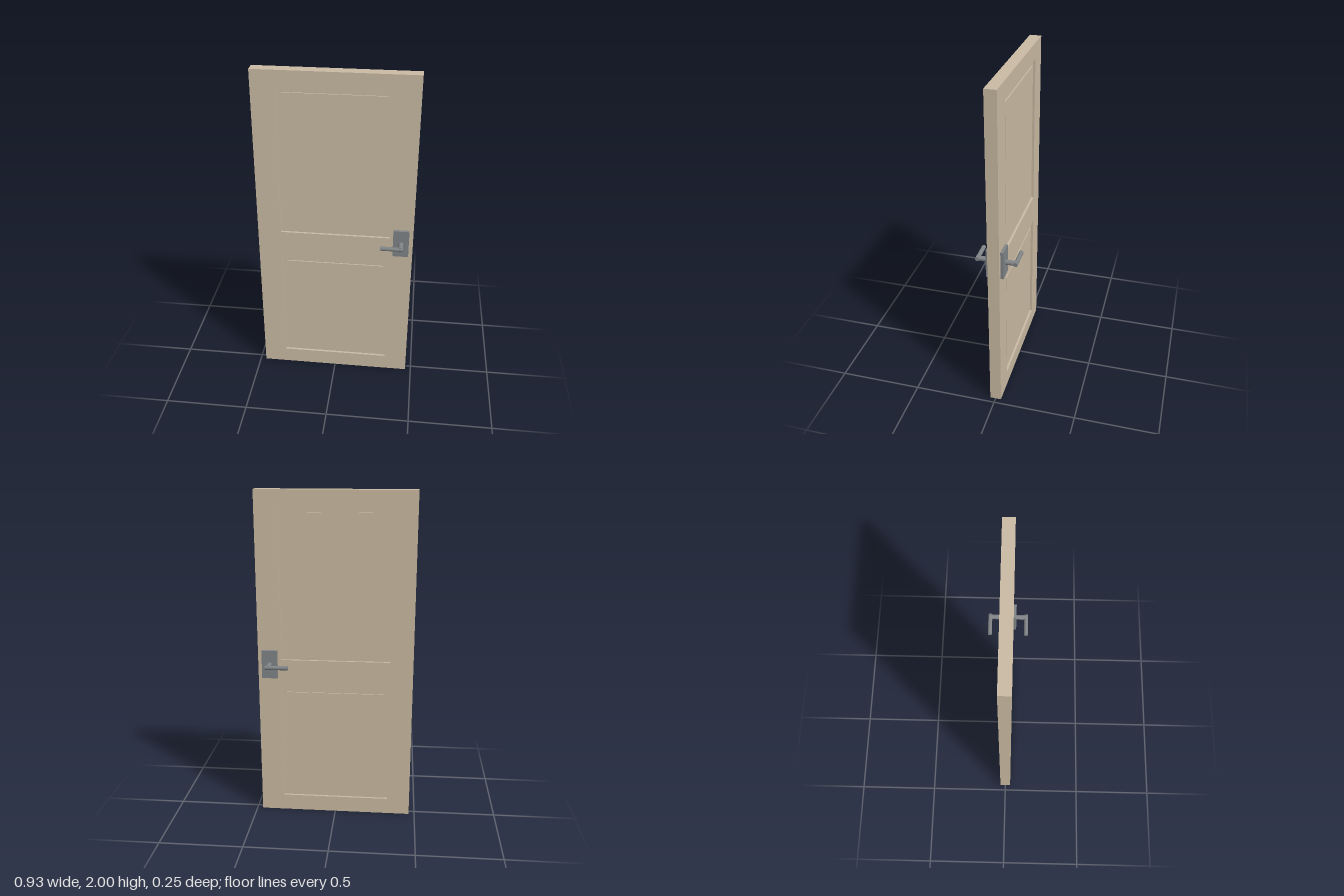
import * as THREE from 'three';

const W = 0.93, H = 2, T = 0.068;      // door slab
const SINK = 0.014, FIELD_DROP = 0.007; // groove depth, raised field depth below the face
const GROOVE = 0.031;                   // groove width
const PANELS = [
  { name: 'upperPanel', y0: 1.0, y1: 1.905 },
  { name: 'lowerPanel', y0: 0.1, y1: 0.825 },
];
const PX = 0.326; // panel half width

function rect(Type, x0, y0, x1, y1) {
  const p = new Type();
  p.moveTo(x0, y0);
  p.lineTo(x1, y0);
  p.lineTo(x1, y1);
  p.lineTo(x0, y1);
  p.closePath();
  return p;
}

export function createModel() {
  const wood = new THREE.MeshStandardMaterial({ color: 0xc9baa2 });
  wood.name = 'beigePaint';
  const metal = new THREE.MeshStandardMaterial({ color: 0x808486 });
  metal.name = 'greyMetal';

  const door = new THREE.Group();
  door.name = 'door';
  const add = (parent, name, geo, mat, x, y, z) => {
    const m = new THREE.Mesh(geo, mat);
    m.name = name;
    m.position.set(x, y, z);
    parent.add(m);
    return m;
  };

  // Frame of stiles and rails with two openings
  const outline = rect(THREE.Shape, -W / 2, 0, W / 2, H);
  outline.holes = PANELS.map((p) => rect(THREE.Path, -PX, p.y0, PX, p.y1));
  const frame = new THREE.ExtrudeGeometry(outline, { depth: T, bevelEnabled: false });
  add(door, 'frame', frame, wood, 0, 0, -T / 2);

  // Sunken panels, each with a raised field on both faces
  for (const p of PANELS) {
    const h = p.y1 - p.y0, y = (p.y0 + p.y1) / 2;
    add(door, p.name, new THREE.BoxGeometry(2 * PX, h, T - 2 * SINK), wood, 0, y, 0);
    add(door, p.name + 'Field',
      new THREE.BoxGeometry(2 * (PX - GROOVE), h - 2 * GROOVE, T - 2 * FIELD_DROP), wood, 0, y, 0);
  }

  // Lever handle on each face
  for (const s of [1, -1]) {
    const handle = new THREE.Group();
    handle.name = s > 0 ? 'frontHandle' : 'backHandle';
    handle.position.set(0.394, 0.974, 0);
    add(handle, 'plate', new THREE.BoxGeometry(0.094, 0.172, 0.017), metal, 0, 0, s * 0.0425);
    const stem = add(handle, 'stem', new THREE.CylinderGeometry(0.015, 0.015, 0.07, 16), metal, 0, 0, s * 0.083);
    stem.rotation.x = Math.PI / 2;
    const lever = add(handle, 'lever', new THREE.CylinderGeometry(0.0125, 0.0125, 0.135, 16), metal, -0.0515, 0, s * 0.1115);
    lever.rotation.z = Math.PI / 2;
    door.add(handle);
  }
  return door;
}
